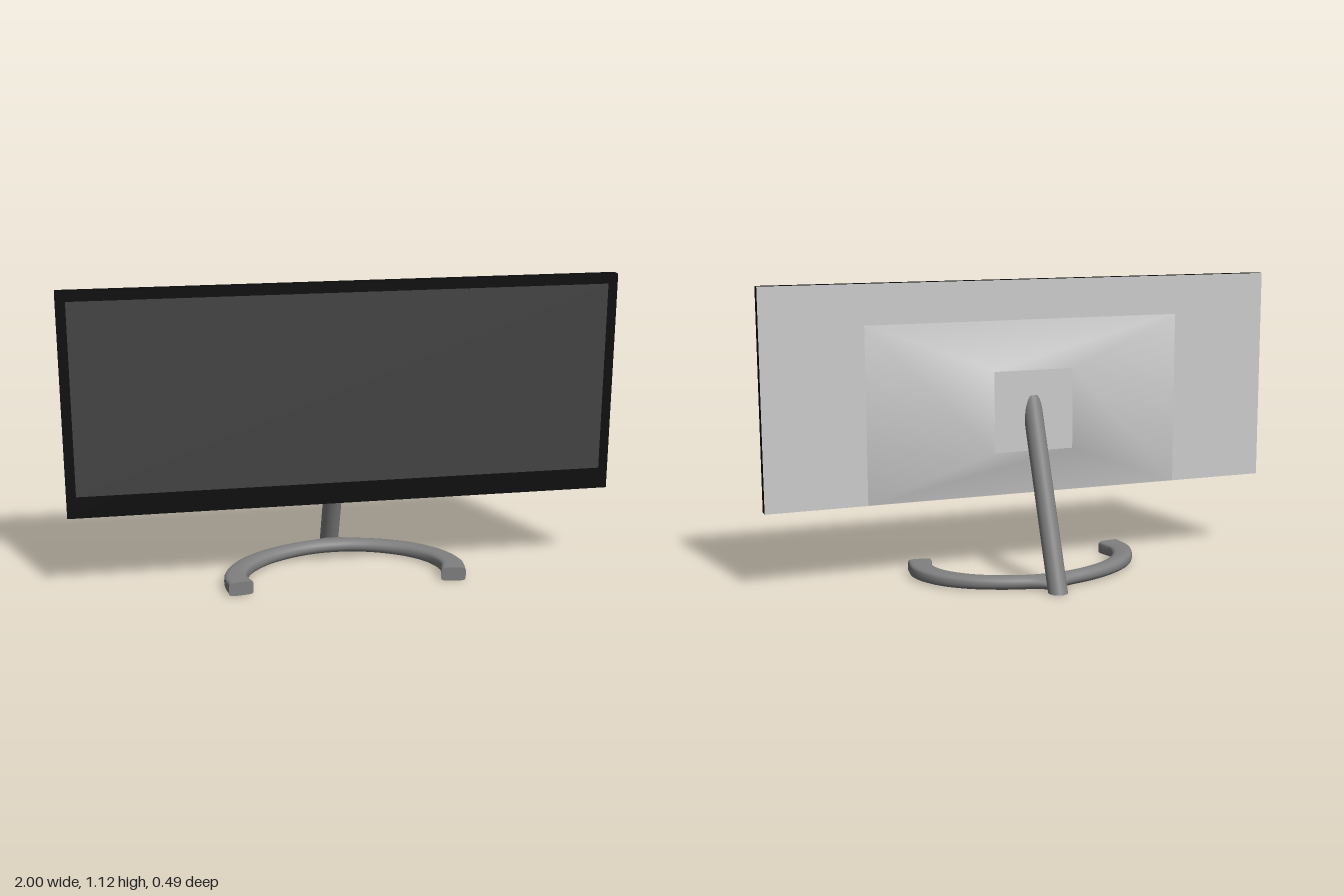
import * as THREE from 'three';

const mat = (color, extra = {}) => new THREE.MeshStandardMaterial({ color, ...extra });
const add = (group, name, geometry, material, x = 0, y = 0, z = 0) => {
  const m = new THREE.Mesh(geometry, material);
  m.name = name;
  m.position.set(x, y, z);
  group.add(m);
  return m;
};

// Build an indexed geometry from equal-length loops of points.
function loft(loops, closeLoop = true) {
  const n = loops[0].length, index = [];
  for (let i = 0; i < loops.length - 1; i++)
    for (let j = 0; j < (closeLoop ? n : n - 1); j++) {
      const k = (j + 1) % n, a = i * n + j, b = i * n + k;
      index.push(a, b, b + n, a, b + n, a + n);
    }
  const g = new THREE.BufferGeometry();
  g.setAttribute('position', new THREE.Float32BufferAttribute(loops.flat(2), 3));
  g.setIndex(index);
  g.computeVertexNormals();
  return g;
}

// Flat fan closing one loop.
function cap(loop, flip) {
  const index = [];
  for (let j = 1; j < loop.length - 1; j++) index.push(0, ...(flip ? [j + 1, j] : [j, j + 1]));
  const g = new THREE.BufferGeometry();
  g.setAttribute('position', new THREE.Float32BufferAttribute(loop.flat(), 3));
  g.setIndex(index);
  g.computeVertexNormals();
  return g;
}

// Rectangle seen from behind, counter-clockwise.
const backRect = (x, y0, y1, z) => [[x, y0, z], [-x, y0, z], [-x, y1, z], [x, y1, z]];

// Curved foot: cross-sections swept along a mirrored arc, square at the tips and round in the middle.
function footLoops() {
  const half = [[-0.395, 0.235], [-0.407, 0.15], [-0.37, 0.05], [-0.285, -0.037], [-0.175, -0.095], [-0.08, -0.122]];
  const pts = [...half, [0, -0.128], ...half.map(([x, z]) => [-x, z]).reverse()];
  const curve = new THREE.CatmullRomCurve3(pts.map(([x, z]) => new THREE.Vector3(x, 0, z)));
  const loops = [], steps = 96, sides = 24;
  for (let i = 0; i <= steps; i++) {
    const t = i / steps, p = curve.getPointAt(t), d = curve.getTangentAt(t);
    const s = Math.abs(2 * t - 1);                    // 0 in the middle, 1 at the tips
    const halfWidth = 0.031 + 0.015 * s * s;
    const power = THREE.MathUtils.lerp(1, 0.35, s * s);
    const flare = Math.exp(-Math.pow(p.x / 0.05, 2)); // swelling toward the post
    const loop = [];
    for (let j = 0; j < sides; j++) {
      const a = (j / sides) * Math.PI * 2, c = Math.cos(a), v = Math.sin(a);
      const w = Math.sign(c) * Math.pow(Math.abs(c), power) * halfWidth;
      const h = Math.sign(v) * Math.pow(Math.abs(v), power) * 0.026;
      const out = Math.max(c, 0) * flare;
      loop.push([p.x + d.z * w, 0.031 + h - 0.004 * out, p.z - d.x * w - 0.04 * out]);
    }
    loops.push(loop);
  }
  return loops;
}

export function createModel() {
  const model = new THREE.Group();
  model.name = 'monitor';
  const black = mat(0x0c0c0c), glass = mat(0x444444), grey = mat(0xcccccc);
  const metal = mat(0x808080, { side: THREE.DoubleSide });

  // Display panel
  const display = new THREE.Group();
  display.name = 'display';
  add(display, 'bezel', new THREE.BoxGeometry(2, 0.815, 0.039), black, 0, 0.7175, 0.1405);
  add(display, 'screen', new THREE.BoxGeometry(1.93, 0.7, 0.002), glass, 0, 0.74, 0.16);
  add(display, 'backPanel', cap(backRect(1, 0.31, 1.125, 0.12), false), grey);

  // Tapered rear housing with a flat mounting plate
  const inner = backRect(0.155, 0.49, 0.795, 0.037);
  add(display, 'rearHousing', loft([backRect(0.62, 0.311, 0.975, 0.12), inner]), grey);
  add(display, 'mountPlate', cap(inner, false), grey);
  model.add(display);

  // Leaning post: a cylinder sheared so its foot is cut level
  const stand = new THREE.Group();
  stand.name = 'stand';
  const y0 = 0.007, y1 = 0.7, lean = 0.247 / 0.6;
  const post = new THREE.CylinderGeometry(0.036, 0.036, y1 - y0, 32);
  post.translate(0, (y1 - y0) / 2, 0);
  post.scale(1, 1, 1.12);
  const pos = post.attributes.position;
  for (let i = 0; i < pos.count; i++) pos.setZ(i, pos.getZ(i) + pos.getY(i) * lean);
  post.computeVertexNormals();
  add(stand, 'post', post, metal, 0, y0, -0.211);

  // Curved foot with flat tips
  const loops = footLoops();
  add(stand, 'foot', loft(loops), metal);
  add(stand, 'footTipRight', cap(loops[0], true), metal);
  add(stand, 'footTipLeft', cap(loops[loops.length - 1], false), metal);
  model.add(stand);
  return model;
}
